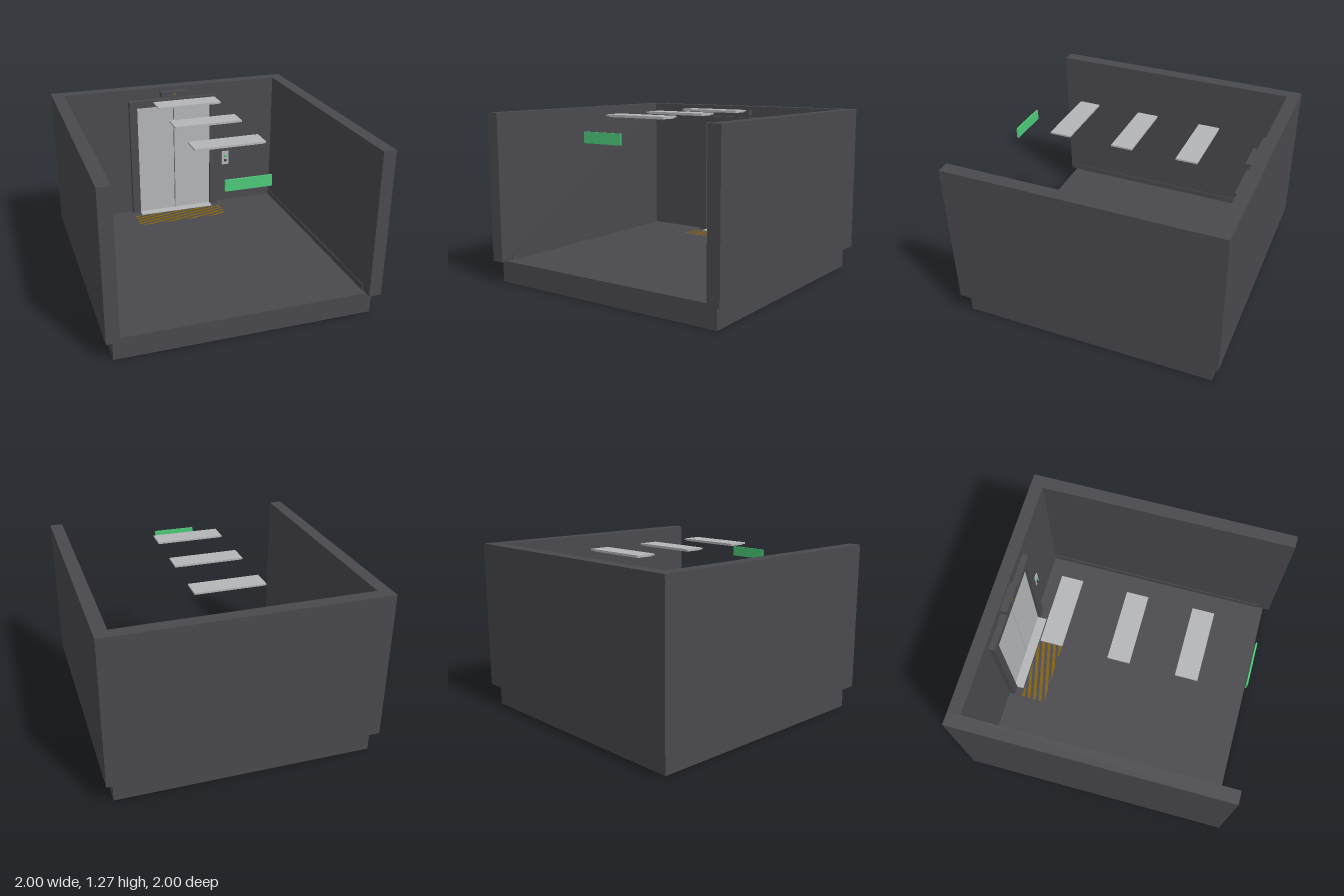
import * as THREE from 'three';

const mat = (name, color) => {
  const m = new THREE.MeshStandardMaterial({ color });
  m.name = name;
  return m;
};

export function createModel() {
  const model = new THREE.Group();
  model.name = 'elevatorLobby';
  const concrete = mat('darkConcrete', 0x4a494e);
  const steel = mat('brushedSteel', 0xb4b6b8);
  const green = mat('signGreen', 0x4ecb7a);
  const gold = mat('hazardGold', 0x80600f);
  const black = mat('buttonBlack', 0x333338);

  const add = (name, geometry, material, parent = model) => {
    const mesh = new THREE.Mesh(geometry, material);
    mesh.name = name;
    parent.add(mesh);
    return mesh;
  };
  // Box given by its min and max along each axis
  const box = (name, material, [x0, x1], [y0, y1], [z0, z1], parent) => {
    const mesh = add(name, new THREE.BoxGeometry(x1 - x0, y1 - y0, z1 - z0), material, parent);
    mesh.position.set((x0 + x1) / 2, (y0 + y1) / 2, (z0 + z1) / 2);
    return mesh;
  };

  // Room shell: plinth floor, back wall, side walls and skirting
  const floorY = 0.163, topY = 1.27, wallZ = -0.905;
  box('floor', concrete, [-0.95, 0.95], [0, floorY], [-0.95, 0.95]);
  box('backWall', concrete, [-0.905, 0.905], [floorY, topY], [-1, wallZ]);
  for (const [side, s] of [['left', 1], ['right', -1]]) {
    const span = (a, b) => [Math.min(s * a, s * b), Math.max(s * a, s * b)];
    box(side + 'Wall', concrete, span(0.905, 1), [floorY, topY], [-1, 1]);
    box(side + 'Skirting', concrete, span(0.899, 0.905), [floorY, 0.21], [wallZ, 0.9]);
    // Door leaf and jamb on each side
    box(side + 'Door', steel, span(0.004, 0.32), [floorY, 1.12], [wallZ, -0.885]);
    box(side + 'DoorJamb', concrete, span(0.32, 0.385), [floorY, 1.12], [wallZ, -0.86]);
  }
  box('doorHeader', concrete, [-0.385, 0.385], [1.12, 1.177], [wallZ, -0.86]);
  box('doorSill', steel, [-0.32, 0.32], [floorY, floorY + 0.004], [-0.885, -0.81]);

  // Floor indicator above the door
  box('indicatorHousing', concrete, [-0.112, 0.112], [1.197, 1.24], [wallZ, -0.851]);
  box('indicatorDisplay', gold, [-0.012, 0.012], [1.21, 1.228], [-0.851, -0.849]);

  // Call panel with two round buttons
  const panel = new THREE.Group();
  panel.name = 'callPanel';
  model.add(panel);
  box('callPlate', steel, [0.443, 0.505], [0.513, 0.636], [wallZ, -0.897], panel);
  for (const [name, y, m] of [['upButton', 0.592, green], ['downButton', 0.552, black]]) {
    const button = add(name, new THREE.CylinderGeometry(0.012, 0.012, 0.008, 20), m, panel);
    button.rotation.x = Math.PI / 2;
    button.position.set(0.474, y, -0.895);
  }

  // Hanging sign near the open front
  box('hangingSign', green, [-0.16, 0.16], [1.086, 1.164], [0.885, 0.896]);

  // Three ceiling light panels, each with a slimmer diffuser below
  for (const z of [-0.478, 0, 0.475]) {
    box('lightHousing', steel, [-0.255, 0.255], [1.248, 1.26], [z - 0.078, z + 0.078]);
    box('lightDiffuser', steel, [-0.24, 0.24], [1.241, 1.248], [z - 0.066, z + 0.066]);
  }

  // Diagonal hazard stripes: a rectangle clipped to slanted bands
  const slope = 0.25;
  const height = p => p.y - slope * p.x;
  const clip = (points, limit, sign) => points.flatMap((p, i) => {
    const q = points[(i + 1) % points.length];
    const a = sign * (height(p) - limit), b = sign * (height(q) - limit);
    const out = a >= 0 ? [p] : [];
    if (a * b < 0) out.push(p.clone().lerp(q, a / (a - b)));
    return out;
  });
  const mat4 = [[-0.385, 0.61], [0.385, 0.61], [0.385, 0.8], [-0.385, 0.8]]
    .map(([x, y]) => new THREE.Vector2(x, y));
  const stripes = new THREE.Group();
  stripes.name = 'hazardStripes';
  model.add(stripes);
  for (let i = 0; i < 8; i++) {
    const top = 0.895 - i * 0.0475;
    const outline = clip(clip(mat4, top, -1), top - 0.025, 1);
    if (outline.length < 3) continue;
    const stripe = add('hazardStripe', new THREE.ShapeGeometry(new THREE.Shape(outline)), gold, stripes);
    stripe.rotation.x = -Math.PI / 2;
    stripe.position.y = floorY + 0.003;
  }
  return model;
}
